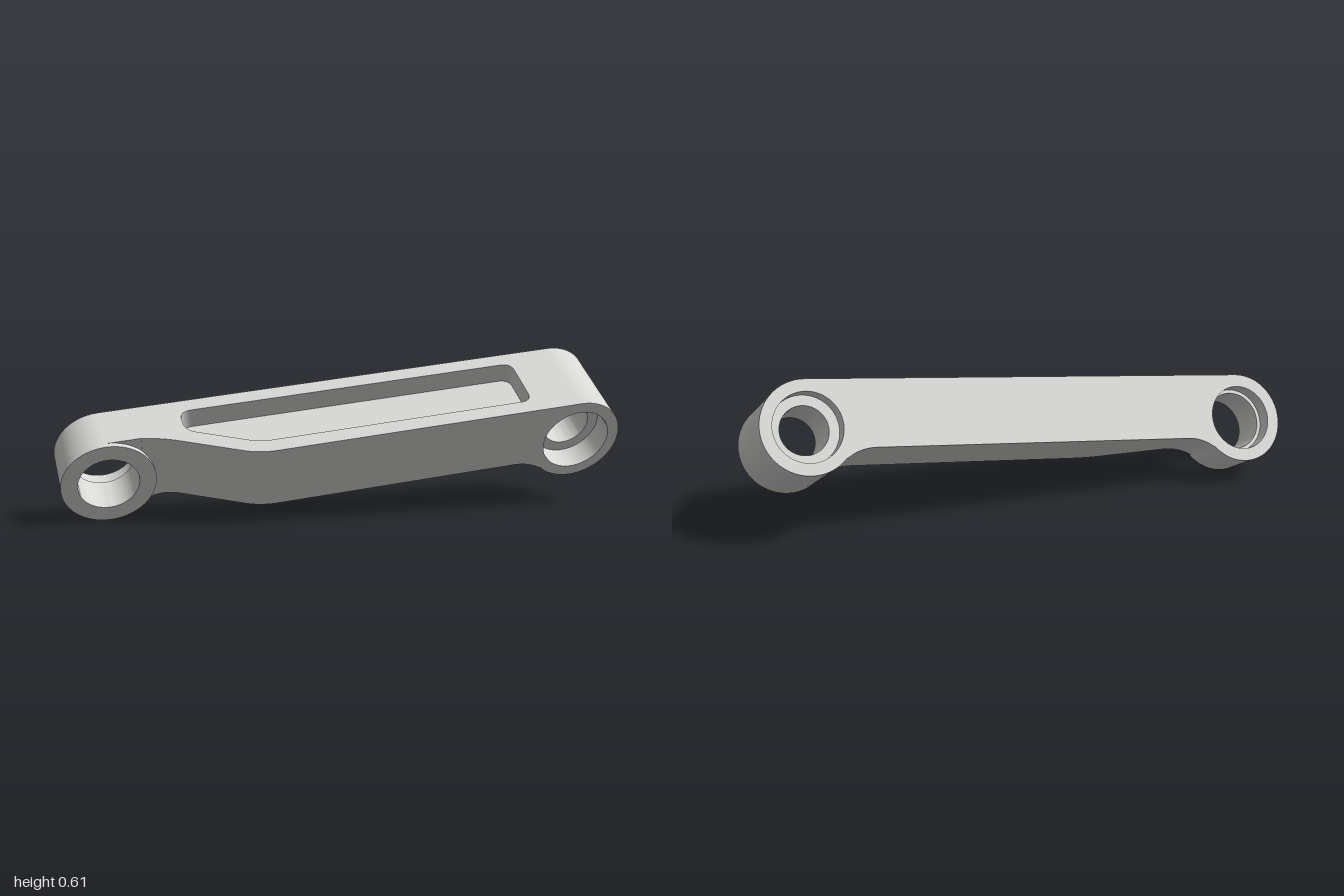
import * as THREE from 'three';
import { toCreasedNormals } from 'three/addons/utils/BufferGeometryUtils.js';

// Link frame: u runs from small boss to large boss, w along the bores, v across
const R = 0.177;          // boss radius
const SPAN = 1.783;       // distance between bores
const WIDE = 0.363;       // large boss and arm width
const NARROW = 0.203;     // small boss width
const BOTTOM = -0.08;     // arm underside
const FLOOR = 0.097;      // pocket floor
const NECK = 0.134;       // where the arm meets a boss, from the bore centre
const FILLET_END = 0.248, FILLET = 0.189;

export function createModel() {
  const metal = new THREE.MeshStandardMaterial({ color: 0xd7d7d5 });
  metal.name = 'bareMetal';
  const link = new THREE.Group();
  link.name = 'linkArm';

  const add = (name, geometry, u = 0, v = 0) => {
    const mesh = new THREE.Mesh(toCreasedNormals(geometry, 0.5), metal);
    mesh.name = name;
    mesh.position.set(u, v, 0);
    link.add(mesh);
  };

  // Bosses: turned rings with stepped bores
  const ring = (name, u, profile) => {
    const points = [...profile, profile[0]].map(([r, w]) => new THREE.Vector2(r, w));
    add(name, new THREE.LatheGeometry(points, 72).rotateX(Math.PI / 2), u);
  };
  ring('smallBoss', 0, [
    [R, 0], [R, NARROW], [0.114, NARROW], [0.114, 0.06], [0.128, 0.06], [0.128, 0],
  ]);
  ring('largeBoss', SPAN, [
    [R, 0], [R, WIDE], [0.133, WIDE], [0.133, WIDE - 0.1],
    [0.092, WIDE - 0.1], [0.092, 0.06], [0.131, 0.06], [0.131, 0],
  ]);

  // Gussets fill between each round boss and the flat top line
  const gusset = (name, u, side, depth) => {
    const shape = new THREE.Shape();
    shape.moveTo(0, R);
    shape.lineTo(side * NECK, R);
    for (let i = 0; i <= 16; i++) {
      const x = NECK * (1 - i / 16);
      shape.lineTo(side * x, Math.sqrt(R * R - x * x) - 0.0005);
    }
    add(name, new THREE.ExtrudeGeometry(shape, { depth, bevelEnabled: false }), u);
  };
  gusset('smallBossGusset', 0, 1, 0.183);
  gusset('largeBossGusset', SPAN, -1, WIDE);

  // Necks: boxes bent so the underside and front follow the fillets
  const underside = (d) => (d >= FILLET_END ? BOTTOM
    : BOTTOM - FILLET + Math.sqrt(FILLET ** 2 - (FILLET_END - d) ** 2));
  const slant = (u) => WIDE + 0.5 * (u - 0.535);
  const frontCurve = (u) => (u >= 0.268 ? slant(u)
    : 0.18 + Math.max(0, u - 0.07) ** 2 * 0.25 / 0.198);
  const neck = (name, u0, u1, centre, top, front) => {
    const geometry = new THREE.BoxGeometry(1, 1, 1, 20, 1, 1);
    const p = geometry.attributes.position;
    for (let i = 0; i < p.count; i++) {
      const u = u0 + (u1 - u0) * (p.getX(i) + 0.5);
      const low = underside(Math.abs(u - centre));
      p.setXYZ(i, u, low + (top - low) * (p.getY(i) + 0.5), front(u) * (p.getZ(i) + 0.5));
    }
    geometry.computeVertexNormals();
    add(name, geometry);
  };
  neck('smallNeck', NECK, 0.27, 0, R, frontCurve);
  neck('largeNeck', SPAN - FILLET_END, SPAN - NECK, SPAN, FLOOR, () => WIDE);

  // Arm: plan outline, drawn clockwise with -w as the shape's y
  const plan = (end) => {
    const s = new THREE.Shape();
    s.moveTo(0.27, 0);
    s.lineTo(end, 0);
    s.lineTo(end, -WIDE);
    s.lineTo(0.6, -WIDE);
    s.quadraticCurveTo(0.535, -WIDE, 0.48, -slant(0.48));
    s.lineTo(0.27, -slant(0.27));
    s.closePath();
    return s;
  };

  // Pocket outline with rounded corners, drawn anticlockwise so its walls face inwards
  const corners = [[0.295, 0.173], [0.55, 0.3], [1.607, 0.3], [1.607, 0.062], [0.295, 0.062]]
    .map(([u, w]) => new THREE.Vector2(u, -w));
  const pocket = new THREE.Path();
  corners.forEach((c, i) => {
    const towards = (o) => c.clone().add(o.clone().sub(c).setLength(0.045));
    const a = towards(corners[(i + 4) % 5]);
    const b = towards(corners[(i + 1) % 5]);
    if (i === 0) pocket.moveTo(a.x, a.y);
    else pocket.lineTo(a.x, a.y);
    pocket.quadraticCurveTo(c.x, c.y, b.x, b.y);
  });
  pocket.closePath();

  const slab = (name, shape, low, high) => add(name, new THREE.ExtrudeGeometry(shape, {
    depth: high - low, bevelEnabled: false, curveSegments: 10,
  }).rotateX(-Math.PI / 2), 0, low);
  slab('armBase', plan(SPAN - FILLET_END), BOTTOM, FLOOR);
  const rim = plan(SPAN - NECK);
  rim.holes.push(pocket);
  slab('pocketRim', rim, FLOOR, R);

  // Tilt the link into its resting pose
  const w = new THREE.Vector3(0.5, -0.5, Math.SQRT1_2).normalize();
  const v = w.clone().cross(new THREE.Vector3(0.847, 0.111, -0.521)).normalize();
  const u = v.clone().cross(w);
  link.quaternion.setFromRotationMatrix(new THREE.Matrix4().makeBasis(u, v, w));
  link.position.set(-0.846, 0.258, 0.39);

  const model = new THREE.Group();
  model.name = 'model';
  model.add(link);
  return model;
}
